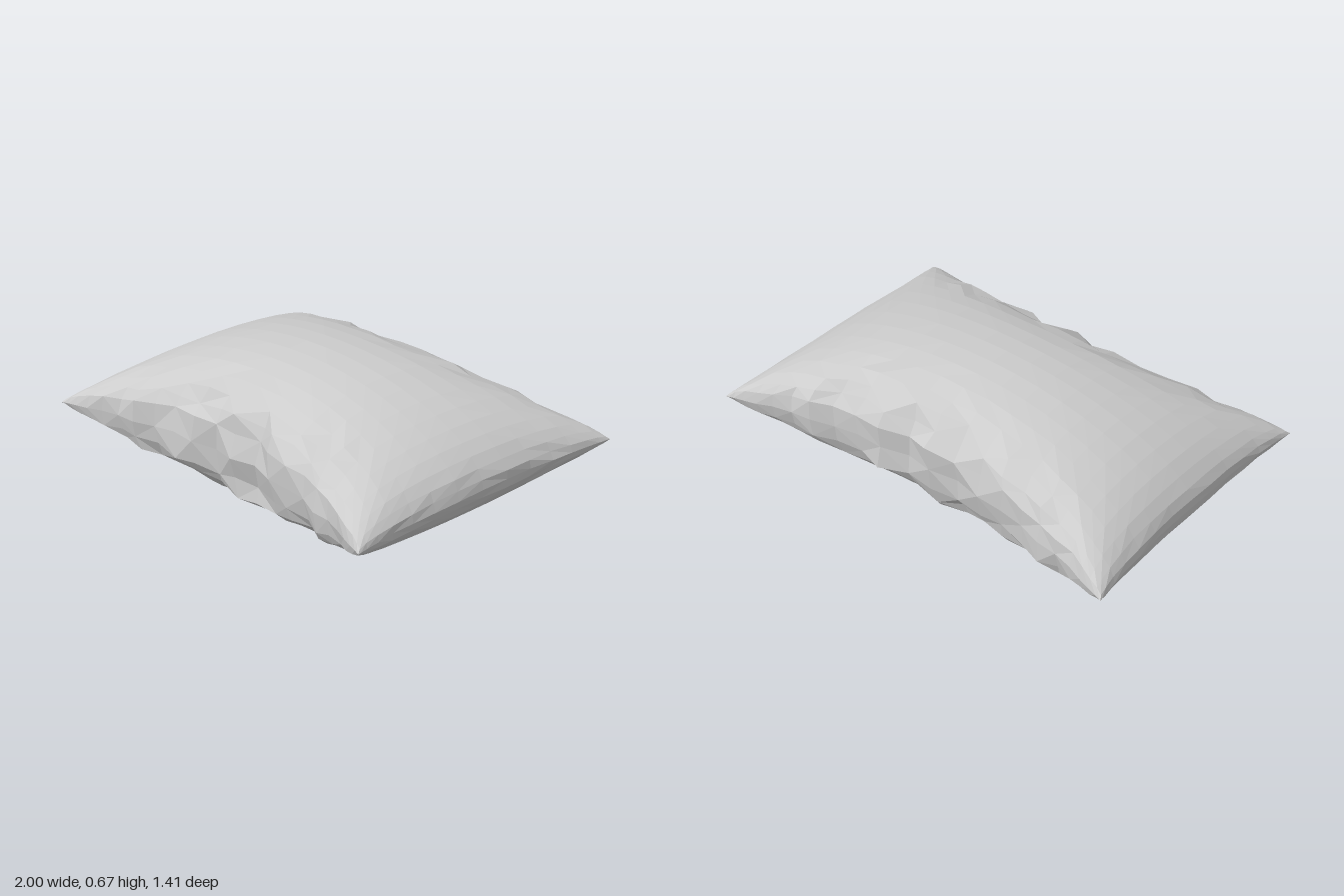
import * as THREE from 'three';

const NX = 24, NZ = 16;

// Repeatable noise in -1..1 for a grid point
function noise(i, j, k) {
  const s = Math.sin(i * 127.1 + j * 311.7 + k * 74.7) * 43758.5453;
  return (s - Math.floor(s)) * 2 - 1;
}

// Grid parameter -1..1, closer together towards the seam
const spread = (i, n) => Math.sin((i / n - 0.5) * Math.PI);

// One point of the cover; side is 1 for the top panel, -1 for the bottom
function coverPoint(i, j, side) {
  const u = spread(i, NX), v = spread(j, NZ);
  const au = Math.abs(u), av = Math.abs(v), out = Math.sign(v);
  const onSeam = i === 0 || i === NX || j === 0 || j === NZ;

  // Plan outline with sides pulled in between pointed corners, slightly askew
  let x = u * (0.952 + 0.042 * av ** 3) - 0.006 * v;
  let z = v * (0.505 + 0.19 * u * u) + 0.01 * u;

  // Stuffed height above and below a gently tilted seam
  const fill = onSeam ? 0 : (1 - u * u) ** 0.53 * (1 - v * v) ** 0.34;
  let y = 0.337 + 0.023 * u - 0.026 * v + side * 0.335 * fill;

  // Scalloped long seams with gathers that fade at the corners and the middle
  const gather = (1 - u * u) * Math.max(0, (av - 0.5) / 0.5);
  z += out * gather * 0.018 * Math.cos(x * 21);
  if (onSeam) {
    y += gather * 0.008 * noise(i, j, 3);
  } else {
    const k = side + (v > 0 ? 5 : 9);
    z += out * gather * 0.024 * noise(i, j, k);
    y += gather * 0.02 * noise(i, j, k + 20);
    x += gather * 0.02 * noise(i, j, k + 40);
  }

  // Slight puckers along the short seams
  const pucker = Math.max(0, (au - 0.9) / 0.1) * (1 - av ** 4);
  x += Math.sign(u) * pucker * 0.006 * noise(i, j, 7);
  return [x, Math.max(0, y), z];
}

function panel(name, side, material) {
  const positions = [], index = [];
  for (let j = 0; j <= NZ; j++)
    for (let i = 0; i <= NX; i++) positions.push(...coverPoint(i, j, side));

  for (let j = 0; j < NZ; j++) {
    for (let i = 0; i < NX; i++) {
      const a = j * (NX + 1) + i, b = a + 1, c = a + NX + 1, d = c + 1;
      // Diagonals run out towards the corners, alternating in the gathers
      const gathered = (j < 4 || j >= NZ - 4) && i > 4 && i < NX - 5;
      const outward = (i < NX / 2) === (j < NZ / 2);
      const flip = gathered ? (i + j) % 2 === 0 : outward;
      const tris = flip ? [[a, c, d], [a, d, b]] : [[a, c, b], [b, c, d]];
      for (const [p, q, r] of tris) index.push(...(side > 0 ? [p, q, r] : [p, r, q]));
    }
  }
  const geometry = new THREE.BufferGeometry();
  geometry.setAttribute('position', new THREE.Float32BufferAttribute(positions, 3));
  geometry.setIndex(index);
  geometry.computeVertexNormals();
  const mesh = new THREE.Mesh(geometry, material);
  mesh.name = name;
  return mesh;
}

export function createModel() {
  const group = new THREE.Group();
  group.name = 'pillow';
  const fabric = new THREE.MeshStandardMaterial({
    color: 0xcccccc, flatShading: true, side: THREE.DoubleSide,
  });
  group.add(panel('topPanel', 1, fabric), panel('bottomPanel', -1, fabric));
  return group;
}
